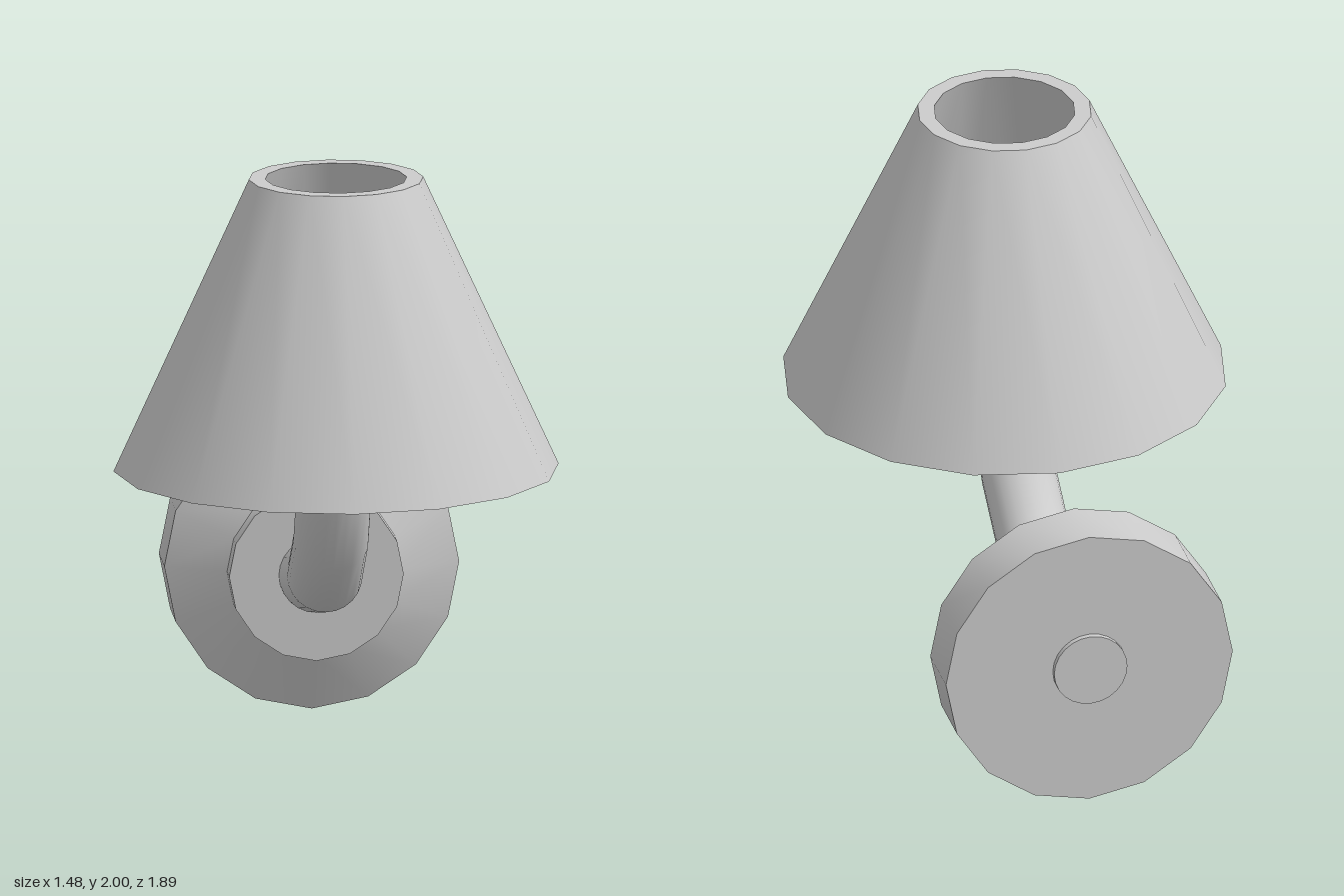
import * as THREE from 'three';
import { toCreasedNormals } from 'three/addons/utils/BufferGeometryUtils.js';

const SIDES = 16;
const ARM_RADIUS = 0.125;
const material = new THREE.MeshStandardMaterial({ color: 0xcccccc });

function part(name, geometry) {
  const mesh = new THREE.Mesh(geometry, material);
  mesh.name = name;
  return mesh;
}

// Revolved solid with crisp profile edges and smooth sides
function turned(profile) {
  const points = profile.map(([r, y]) => new THREE.Vector2(r, y));
  return toCreasedNormals(new THREE.LatheGeometry(points, SIDES), 0.5);
}

// Capped pipe: a cylinder whose rings are moved onto a path in the y-z plane
function bentPipe(path, radius, sides) {
  const centres = path.map(([z, y]) => new THREE.Vector3(0, y, z));
  const last = centres.length - 1;
  const dirs = centres.slice(1).map((p, i) => p.clone().sub(centres[i]).normalize());
  const side = new THREE.Vector3(1, 0, 0);
  const frames = centres.map((c, i) => {
    let tangent = dirs[Math.max(i - 1, 0)].clone().add(dirs[Math.min(i, last - 1)]).normalize();
    if (i === last) tangent = new THREE.Vector3(0, 1, 0); // level top end
    const normal = side.clone().cross(tangent);
    return new THREE.Matrix4().makeBasis(side, tangent, normal).setPosition(c);
  });
  const geometry = new THREE.CylinderGeometry(radius, radius, last, sides, last);
  const { position, normal } = geometry.attributes;
  const v = new THREE.Vector3();
  for (let i = 0; i < position.count; i++) {
    const frame = frames[Math.round(position.getY(i) + last / 2)];
    v.fromBufferAttribute(position, i).setY(0).applyMatrix4(frame);
    position.setXYZ(i, v.x, v.y, v.z);
    v.fromBufferAttribute(normal, i).transformDirection(frame);
    normal.setXYZ(i, v.x, v.y, v.z);
  }
  return geometry;
}

export function createModel() {
  const model = new THREE.Group();
  model.name = 'wallLamp';

  // Thick conical shade, open at both ends
  const shade = part('shade', turned([
    [0.74, 1.02], [0.29, 2], [0.235, 2], [0.6, 1.02], [0.74, 1.02],
  ]));
  shade.position.z = 0.205;
  model.add(shade);

  // Stepped wall plate, turned about the z axis
  const plate = part('wallPlate', turned([
    [0, -0.93], [0.49, -0.93], [0.49, -0.72], [0.29, -0.625], [0.29, -0.54], [0, -0.54],
  ]).rotateX(Math.PI / 2));
  plate.position.y = 0.493;
  model.add(plate);

  // Curved arm from behind the plate up into the shade
  model.add(part('arm', bentPipe([
    [-0.95, 0.495], [-0.53, 0.495], [-0.23, 0.56], [0.01, 0.73], [0.165, 0.98], [0.205, 1.27],
  ], ARM_RADIUS, 24)));

  return model;
}
